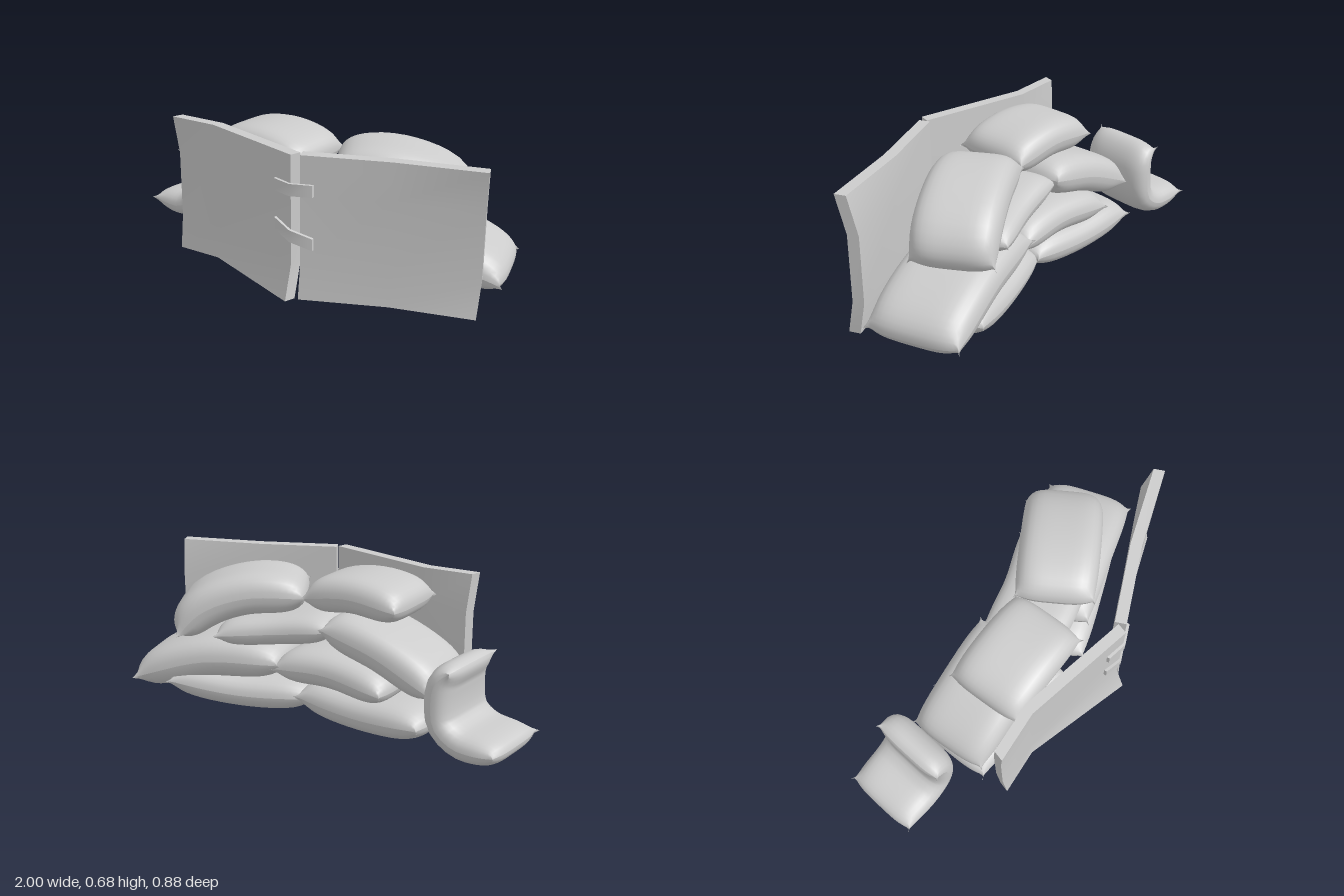
import * as THREE from 'three';

const material = new THREE.MeshStandardMaterial({ color: 0xcccccc });

function add(group, geometry, name) {
  geometry.computeVertexNormals();
  const mesh = new THREE.Mesh(geometry, material);
  mesh.name = name;
  group.add(mesh);
}

// Moves every vertex of a geometry by rule(v)
function deform(geometry, rule) {
  const p = geometry.attributes.position;
  const v = new THREE.Vector3();
  for (let i = 0; i < p.count; i++) {
    v.fromBufferAttribute(p, i);
    rule(v);
    p.setXYZ(i, v.x, v.y, v.z);
  }
  return geometry;
}

// Bulging outline that tucks in beside each corner and ends in a small tip
const outline = (s) => 1 - 0.09 * (s ** 4 - s ** 24);

// Pillow-shaped bag: two inflated sheets that follow a centre line and meet at a seam
function bag(name, points, width, thickness) {
  const group = new THREE.Group();
  group.name = name;
  const curve = new THREE.CatmullRomCurve3(points.map((p) => new THREE.Vector3(...p)));
  const chord = curve.getPoint(1).sub(curve.getPoint(0)).setY(0);
  const side = new THREE.Vector3(0, 1, 0).cross(chord).normalize();
  for (const sign of [1, -1]) {
    const sheet = new THREE.PlaneGeometry(2, 2, 22, 18);
    deform(sheet, (v) => {
      const a = Math.sin((v.x * Math.PI) / 2);
      const b = Math.sin((v.y * Math.PI) / 2) * sign;
      const height = Math.sqrt(Math.max(0, (1 - Math.abs(a) ** 5) * (1 - Math.abs(b) ** 5)));
      const w = b * outline(a);
      const t = THREE.MathUtils.clamp((a * outline(b) + 1) / 2, 0, 1);
      const normal = curve.getTangentAt(t).cross(side).normalize();
      v.copy(curve.getPointAt(t))
        .addScaledVector(side, (w * width) / 2)
        .addScaledVector(normal, (sign * height * thickness) / 2);
    });
    add(group, sheet, sign > 0 ? 'upperSheet' : 'lowerSheet');
  }
  return group;
}

// Bent board: front[] holds [x, z] from the inner end to the outer end
function board(group, name, front, back, bulge, endShift) {
  const rows = [0.015, 0.18, 0.5, 0.68];
  const inward = front[2][0] > front[0][0] ? 1 : -1;
  const geometry = new THREE.BoxGeometry(2, 3, 1, 2, 3, 1);
  deform(geometry, (v) => {
    const column = Math.round(v.x * inward + 1);
    const row = Math.round(v.y + 1.5);
    const [x, z] = front[column];
    const behind = v.z < 0;
    v.set(x + (behind ? back[0] : 0), rows[row], z + (behind ? back[1] : 0));
    // bottom inner corner kicks forward, outer end bows
    if (column === 0 && row === 0) v.z += bulge;
    if (column === 2) {
      if (row < 3) v.x += endShift[0];
      if (row === 1 || row === 2) v.z += endShift[1];
    }
  });
  add(group, geometry, name);
}

// Tape strip folded over the gap between the boards
function strap(group, name, y, height, slope) {
  const geometry = new THREE.BoxGeometry(0.19, height, 0.014, 2, 1, 1);
  deform(geometry, (v) => {
    v.y += y + slope * v.x;
    v.z += 0.392 - (v.x > 0 ? 0.36 : 0.27) * Math.abs(v.x);
    v.x += 0.165;
  });
  add(group, geometry, name);
}

export function createModel() {
  const model = new THREE.Group();
  model.name = 'sandbagBarricade';

  // Front boards and straps
  const boards = new THREE.Group();
  boards.name = 'boards';
  board(boards, 'rightBoard', [[0.167, 0.387], [-0.36, 0.237], [-0.6, 0.237]], [0.018, -0.048], 0.05, [0.015, -0.02]);
  board(boards, 'leftBoard', [[0.203, 0.37], [0.57, 0.237], [0.955, 0.137]], [-0.018, -0.05], 0.02, [-0.018, -0.037]);
  strap(boards, 'upperStrap', 0.525, 0.055, 0);
  strap(boards, 'lowerStrap', 0.312, 0.055, -0.34);
  model.add(boards);

  // Stacked bags: name, centre line, width, thickness
  const bags = [
    ['bottomLeftBag', [[0.09, 0.09, 0], [0.43, 0.085, -0.1], [0.77, 0.125, -0.2]], 0.45, 0.165],
    ['bottomRightBag', [[0.08, 0.105, -0.02], [-0.26, 0.087, -0.07], [-0.59, 0.1, -0.1]], 0.45, 0.17],
    ['lowerLeftBag', [[0.21, 0.25, -0.05], [0.58, 0.235, -0.14], [0.94, 0.115, -0.22]], 0.45, 0.2],
    ['lowerMiddleBag', [[0.2, 0.23, -0.06], [-0.08, 0.25, -0.06], [-0.39, 0.21, -0.1]], 0.42, 0.17],
    ['middleRightBag', [[-0.04, 0.455, -0.05], [-0.32, 0.38, -0.06], [-0.6, 0.25, -0.08]], 0.4, 0.19],
    ['middleLeftBag', [[-0.03, 0.435, -0.04], [0.24, 0.4, -0.08], [0.51, 0.37, -0.17]], 0.38, 0.14],
    ['topLeftBag', [[0.17, 0.55, 0.02], [0.42, 0.55, -0.1], [0.6, 0.48, -0.19], [0.71, 0.36, -0.25]], 0.38, 0.2],
    ['topRightBag', [[0.1, 0.55, 0.04], [-0.15, 0.59, 0.02], [-0.4, 0.56, 0]], 0.38, 0.175],
    // fallen bag, bent upwards against the stack
    ['fallenBag', [[-0.975, 0.1, -0.22], [-0.88, 0.09, -0.21], [-0.77, 0.1, -0.195], [-0.69, 0.16, -0.185],
      [-0.67, 0.27, -0.18], [-0.685, 0.36, -0.18], [-0.75, 0.42, -0.18]], 0.38, 0.135],
  ];
  for (const entry of bags) model.add(bag(...entry));
  return model;
}
